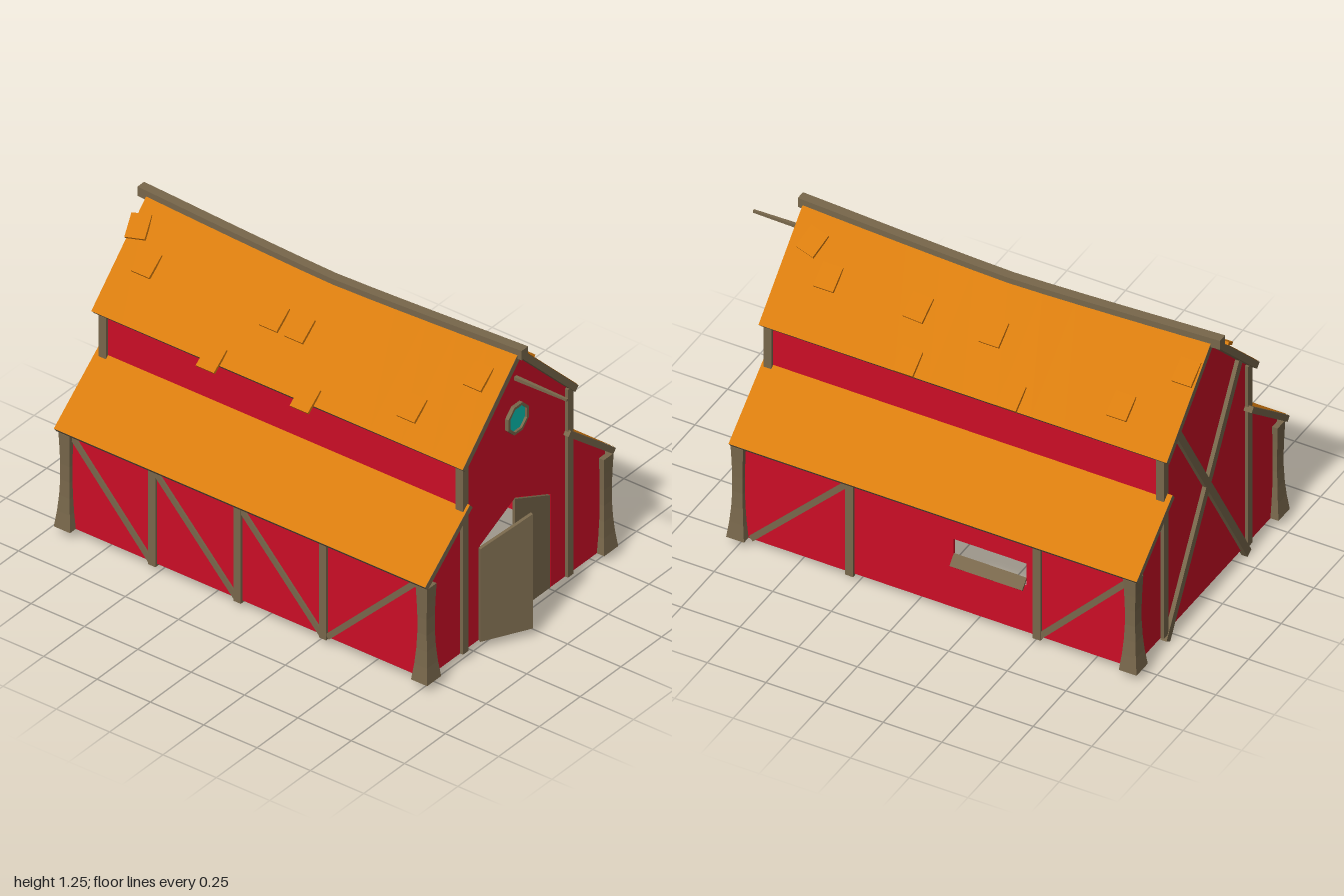
import * as THREE from 'three';

const mat = (color) => new THREE.MeshStandardMaterial({ color, flatShading: true, side: THREE.DoubleSide });
const V = (x, y, z) => new THREE.Vector3(x, y, z);
const BASE = 0.05, FRONT = 0.755, BACK = -0.925, ROOF_Z = -0.09, ROOF_L = 1.74;

// how far the old ridge droops at a given z
const sag = (z) => 0.04 * Math.max(0, 1 - Math.pow(Math.abs(z + 0.1) / 0.88, 1.25));

export function createModel() {
  const root = new THREE.Group();
  const red = mat(0xcc0d26), orange = mat(0xd87c0e), wood = mat(0x78674b), glass = mat(0x06bfb0);

  const add = (name, geo, material, parent = root) => {
    const m = new THREE.Mesh(geo, material);
    m.name = name;
    parent.add(m);
    return m;
  };
  const poly = (pts) => new THREE.Shape(pts.map(([x, y]) => new THREE.Vector2(x, y)));
  const extrude = (shape, depth) => new THREE.ExtrudeGeometry(shape, { depth, bevelEnabled: false });
  const bar = (name, a, b, w, d) => {
    const dir = b.clone().sub(a);
    const m = add(name, new THREE.BoxGeometry(w, dir.length(), d), wood);
    m.position.copy(a).add(b).multiplyScalar(0.5);
    m.quaternion.setFromUnitVectors(V(0, 1, 0), dir.normalize());
    return m;
  };
  const droop = (geo, weight) => {
    const p = geo.attributes.position;
    for (let i = 0; i < p.count; i++) p.setY(i, p.getY(i) - sag(p.getZ(i)) * weight(p.getX(i)));
    geo.computeVertexNormals();
    return geo;
  };

  // gable walls
  const half = [[0.55, BASE], [0.55, 0.485], [0.325, 0.665], [0.325, 0.89]];
  const outline = [...half, [0, 1.22], ...half.map(([x, y]) => [-x, y]).reverse()];
  const frontShape = poly(outline);
  frontShape.holes.push(poly([[-0.215, BASE + 0.0005], [-0.215, 0.47], [0, 0.57], [0.215, 0.47], [0.215, BASE + 0.0005]]));
  add('frontWall', extrude(frontShape, 0.01), red).position.z = FRONT - 0.01;
  add('backWall', extrude(poly(outline), 0.01), red).position.z = BACK;

  // long walls; the +x one has a window opening
  const len = FRONT - BACK;
  for (const s of [1, -1]) {
    const side = poly([[BACK, BASE], [FRONT, BASE], [FRONT, 0.485], [BACK, 0.485]]);
    if (s > 0) side.holes.push(poly([[-0.47, 0.26], [-0.16, 0.26], [-0.16, 0.37], [-0.47, 0.37]]));
    const wall = add('sideWall', extrude(side, 0.01), red);
    wall.rotation.y = -Math.PI / 2;
    wall.position.x = s > 0 ? 0.55 : -0.54;
    add('upperWall', new THREE.BoxGeometry(0.01, 0.23, len), red).position.set(s * 0.32, 0.78, (FRONT + BACK) / 2);
  }
  bar('windowFlap', V(0.545, 0.3, -0.315), V(0.58, 0.262, -0.315), 0.008, 0.31);

  // roof slabs: wooden board with an orange covering on top
  const slab = (name, s, x0, y0, x1, y1, t, weight) => {
    const L = Math.hypot(x1 - x0, y1 - y0), ang = -s * Math.atan2(y0 - y1, x1 - x0);
    const place = (g) => droop(g.rotateZ(ang).translate(s * x0, y0, ROOF_Z), weight);
    const board = new THREE.BoxGeometry(L, t, ROOF_L, 1, 1, 12).translate(s * L / 2, -t / 2, 0);
    const cover = new THREE.PlaneGeometry(L, ROOF_L, 1, 12).rotateX(-Math.PI / 2).translate(s * L / 2, 0.002, 0);
    add(name + 'Board', place(board), wood);
    add(name + 'Cover', place(cover), orange);
  };
  const EAVE_X = 0.355, EAVE_Y = 0.893, RIDGE_Y = 1.247;
  const fade = (x) => Math.max(0, 1 - Math.abs(x) / EAVE_X);
  for (const s of [1, -1]) {
    slab('mainRoof', s, 0, RIDGE_Y, EAVE_X, EAVE_Y, 0.027, fade);
    slab('lowerRoof', s, 0.31, 0.712, 0.585, 0.488, 0.025, () => 0);
  }
  add('ridgeBeam', droop(new THREE.BoxGeometry(0.04, 0.042, 1.8, 1, 1, 12).translate(0, 1.236, -0.1), () => 1), wood);

  // loose shingles: x, z, twist
  const shingles = [
    [-0.1, -0.93, 0.25], [-0.18, -0.83, 0], [-0.345, -0.4, 0], [-0.17, -0.24, 0], [-0.17, -0.12, 0],
    [-0.345, 0.04, 0], [-0.255, 0.47, 0], [-0.11, 0.67, 0], [0.11, -0.91, 0], [0.25, -0.71, 0],
    [0.32, -0.28, 0], [0.165, -0.12, 0], [0.17, 0.2, 0.05], [0.32, 0.16, 0], [0.175, 0.58, 0], [0.1, 0.69, 0.25],
  ];
  const slope = Math.atan2(RIDGE_Y - EAVE_Y, EAVE_X);
  for (const [x, z, twist] of shingles) {
    const s = Math.sign(x), r = Math.abs(x);
    const y = RIDGE_Y - (RIDGE_Y - EAVE_Y) * r / EAVE_X - sag(z) * fade(x);
    const g = new THREE.BoxGeometry(0.1, 0.012, 0.085).rotateY(-s * twist);
    const m = add('shingle', g.rotateZ(-s * (slope - 0.13)), orange);
    m.position.set(x + s * 0.005, y + 0.007, z);
  }

  // flared corner posts
  const flare = [0.043, 0.034, 0.028, 0.025, 0.025, 0.027, 0.03];
  for (const sx of [1, -1]) for (const z of [FRONT - 0.003, BACK + 0.003]) {
    const g = new THREE.BoxGeometry(2, 0.42, 2, 1, 6, 1), p = g.attributes.position;
    for (let i = 0; i < p.count; i++) {
      const k = flare[Math.round((p.getY(i) + 0.21) / 0.07)];
      p.setX(i, p.getX(i) * k);
      p.setZ(i, p.getZ(i) * k * 0.88);
    }
    g.computeVertexNormals();
    add('cornerPost', g, wood).position.set(sx * 0.543, 0.26, z);
    bar('gablePost', V(sx * 0.322, BASE, z), V(sx * 0.322, 0.895, z), 0.034, 0.034);
  }

  // side posts and diagonal braces; a brace runs from its low z to its high z
  const timber = (s, posts, braces) => {
    const x = s * 0.548;
    for (const z of posts) bar('sidePost', V(x, 0.04, z), V(x, 0.48, z), 0.026, 0.034);
    for (const [lo, hi] of braces) bar('sideBrace', V(x, 0.055, lo), V(x, 0.465, hi), 0.022, 0.024);
  };
  timber(1, [0.28, -0.52], [[0.7, 0.29], [-0.53, -0.92]]);
  timber(-1, [0.28, -0.12, -0.52], [[-0.53, -0.9], [-0.13, -0.51], [0.27, -0.11], [0.3, 0.71]]);

  // crossed braces on the back
  for (const s of [1, -1]) bar('backBrace', V(s * 0.31, 0.02, BACK - 0.004), V(-s * 0.245, 0.965, BACK - 0.004), 0.034, 0.026);

  // double doors, one ajar
  const doorShape = (s) => poly([[0, BASE], [s * 0.215, BASE], [s * 0.215, 0.564], [0, 0.466]]);
  const leftLeaf = add('openDoor', extrude(doorShape(1), 0.015), wood);
  leftLeaf.position.set(-0.225, 0, FRONT);
  leftLeaf.rotation.y = -0.49;
  add('closedDoor', extrude(doorShape(-1), 0.012), wood).position.set(0.212, 0, FRONT - 0.011);

  // octagonal window
  const octagon = (r) => Array.from({ length: 8 }, (_, i) => {
    const a = (i + 0.5) * Math.PI / 4;
    return [r * Math.cos(a), r * Math.sin(a)];
  });
  const ring = poly(octagon(0.067));
  ring.holes.push(poly(octagon(0.055)));
  add('windowFrame', extrude(ring, 0.02), wood).position.set(0, 0.93, FRONT - 0.004);
  add('windowGlass', extrude(poly(octagon(0.056)), 0.006), glass).position.set(0, 0.93, FRONT);

  // hoist pole above the window
  add('hoistPole', new THREE.CylinderGeometry(0.007, 0.011, 0.25, 4).rotateY(Math.PI / 4).rotateX(Math.PI / 2), wood)
    .position.set(0, 1.108, 0.875);

  return root;
}
